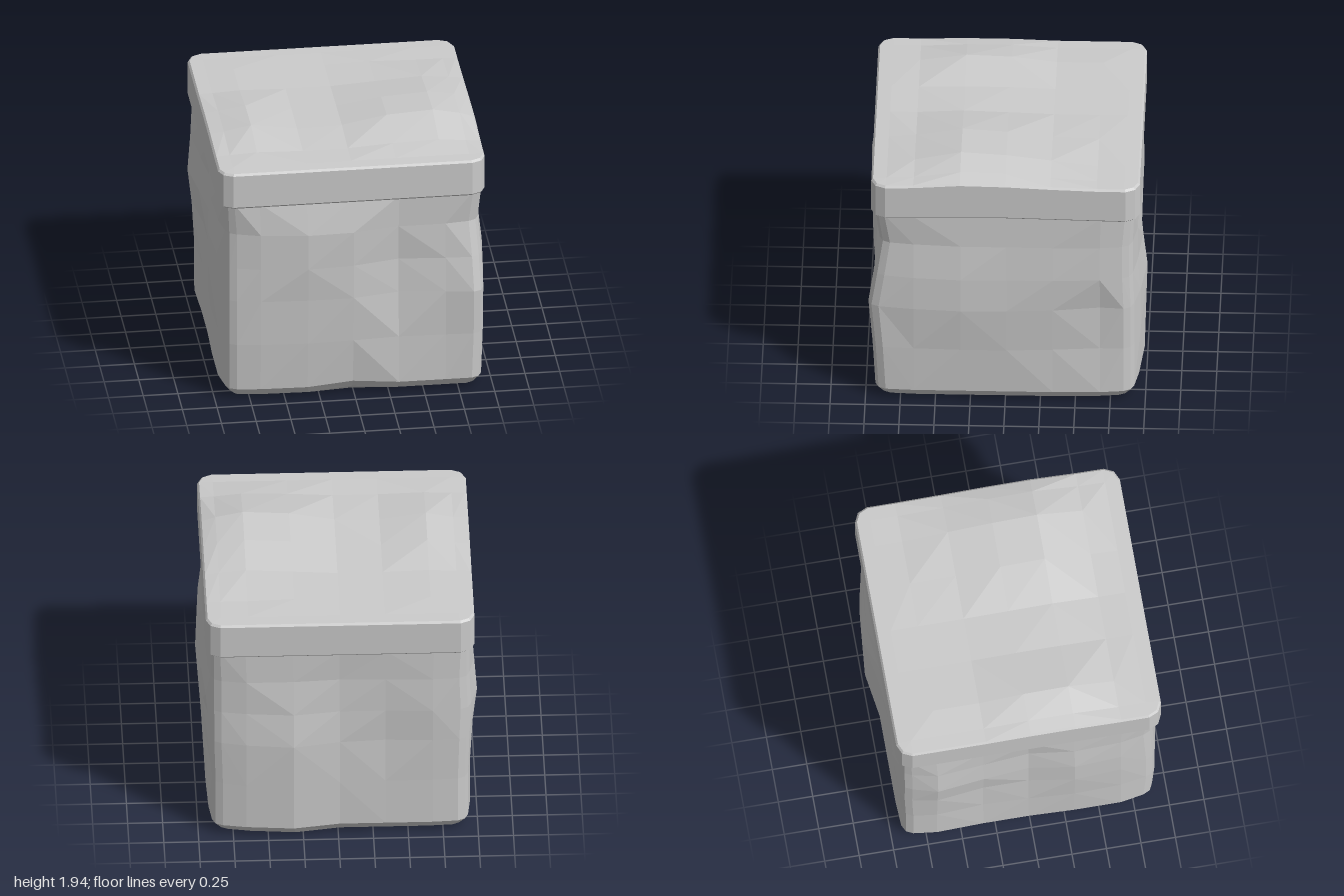
import * as THREE from 'three';

// Column positions across each face, as a share of the half width
const COLS = [-1, -0.77, -0.38, 0, 0.38, 0.77, 1];

// Outward dents and bulges in hundredths: rows go up, columns run anticlockwise seen from above
const FRONT = [
  [-3, -1, 0, -2, 0, 0, 0],
  [-1, 1, 3, 2, 0, 1, 2],
  [-1, 2, 4, 4, -2, 2, 5],
  [-2, 2, 6, 4, -3, 0, 1],
  [-3, 2, 6, 5, -1, -1, -3],
  [-1, 0, 1, 1, 0, 0, 0]];
const RIGHT = [
  [-1, 0, 0, 0, 0, -1, -3],
  [0, 1, 2, 2, 0, -3, -3],
  [0, 3, 5, 4, 2, -3, -2],
  [-1, 2, 4, 3, 3, 1, -2],
  [-3, -1, 1, 1, 1, 0, -2],
  [-1, 0, 0, 0, 0, 0, -2]];
const BACK = [
  [-3, 0, 3, -2, -2, -2, -3],
  [-3, 1, 4, -1, -2, -2, -3],
  [-3, 1, 5, -1, -3, -1, -2],
  [-4, -1, 2, -2, -2, 0, -2],
  [-4, -1, -1, -3, -2, -1, -2],
  [-3, -1, -1, -2, -1, -1, -2]];
const LEFT = [
  [-2, 0, -1, -1, 0, 0, -3],
  [-2, 0, -2, -1, 1, 0, -3],
  [-1, 2, -2, -2, 3, 1, -3],
  [0, 5, 1, -2, 3, 1, -3],
  [-1, 3, 0, -3, 1, 0, -3],
  [-1, 1, 0, -1, 0, 0, -2]];
const SIDES = [FRONT, RIGHT, BACK, LEFT];

// Swells of the lid's top in hundredths: rows from back to front, columns along x
const SWELL = [
  [0, 0, 0, 0, 0, 0, 0],
  [0, 1, 0, 0, 1, 0, 0],
  [0, 1, 0, 0, 2, 4, 2],
  [2, 5, 1, 1, 6, 8, 5],
  [2, 6, 1, 2, 8, 10, 6],
  [0, 1, 0, 0, 2, 3, 1],
  [0, 0, 0, 0, 0, 0, 0]];

// Rounded square loop: half = distance to the faces, end = where each face stops before its corner
function makeRing({ y, half, end, row = -1, lift = () => 0 }) {
  const bump = (side, col) => (row < 0 ? 0 : SIDES[(side + 4) % 4][row][col] / 100);
  const ring = [];
  for (let s = 0; s < 4; s++) {
    const angle = s * Math.PI / 2;
    const nx = Math.round(Math.sin(angle)), nz = Math.round(Math.cos(angle));
    COLS.forEach((u, c) => {
      let along = u * end;
      if (c === 0) along -= bump(s - 1, 6);
      if (c === 6) along += bump(s + 1, 0);
      const out = half + bump(s, c);
      ring.push(new THREE.Vector3(nx * out + nz * along, y + lift(s, c), nz * out - nx * along));
    });
    ring.push(null); // corner, filled in below
  }
  return ring.map((p, i) => {
    if (p) return p;
    const mid = ring[i - 1].clone().lerp(ring[(i + 1) % ring.length], 0.5);
    const push = 1 + (half - end) * 0.2;
    return mid.multiply(new THREE.Vector3(push, 1, push));
  });
}

// Skin the loops and close both ends with a grid
function makeShell(specs, topHeight) {
  const points = specs.map(makeRing).flat();
  const index = [];
  const n = points.length / specs.length;
  // Split each quad along the diagonal that bulges outwards
  const addQuad = (a, b, c, d) => {
    const reach = (i, j) => points[i].clone().add(points[j]).length();
    if (reach(a, c) >= reach(b, d)) index.push(a, b, c, a, c, d);
    else index.push(a, b, d, b, c, d);
  };
  for (let r = 0; r < specs.length - 1; r++) {
    for (let i = 0; i < n; i++) {
      const a = r * n + i, b = r * n + (i + 1) % n;
      addQuad(a, b, b + n, a + n);
    }
  }
  const cap = ({ y, end }, height, up) => {
    const start = points.length;
    COLS.forEach((v, j) => COLS.forEach((u, i) =>
      points.push(new THREE.Vector3(u * end, y + height(i, j), v * end))));
    for (let j = 0; j < 6; j++) {
      for (let i = 0; i < 6; i++) {
        const a = start + j * 7 + i;
        if (up) addQuad(a, a + 7, a + 8, a + 1);
        else addQuad(a, a + 1, a + 8, a + 7);
      }
    }
  };
  cap(specs[0], () => 0, false);
  cap(specs[specs.length - 1], topHeight, true);
  const geometry = new THREE.BufferGeometry().setFromPoints(points);
  geometry.setIndex(index);
  geometry.computeVertexNormals();
  return geometry;
}

export function createModel() {
  const group = new THREE.Group();
  const material = new THREE.MeshStandardMaterial({ color: 0xcccccc, flatShading: true });
  const addPart = (name, geometry, x, z) => {
    const mesh = new THREE.Mesh(geometry, material);
    mesh.name = name;
    mesh.position.set(x, 0, z);
    group.add(mesh);
  };

  // Dented stone block with a chamfered foot, nicked at the middle of its front edge
  const nick = (s, c) => (s === 0 && c === 3 ? 0.02 : 0);
  addPart('block', makeShell([
    { y: 0, half: 0.82, end: 0.82 },
    { y: 0.025, half: 0.9, end: 0.83, row: 0, lift: nick },
    { y: 0.085, half: 0.94, end: 0.865, row: 0, lift: nick },
    { y: 0.45, half: 0.94, end: 0.865, row: 1 },
    { y: 0.8, half: 0.94, end: 0.865, row: 2 },
    { y: 1.06, half: 0.94, end: 0.865, row: 3 },
    { y: 1.33, half: 0.94, end: 0.865, row: 4 },
    { y: 1.58, half: 0.94, end: 0.875, row: 5 },
    { y: 1.6, half: 0.85, end: 0.85 },
  ], () => 0), -0.01, -0.01);

  // Overhanging lid with rounded corners and a gently swelling top
  const swell = (i, j) => SWELL[j][i] / 100;
  const brim = (s, c) => [swell(c, 6), swell(6, 6 - c), swell(6 - c, 0), swell(0, c)][s];
  const rim = (s, c) => brim(s, c) / 2;
  const sag = (s, c) => (s === 1 ? 0.015 * (1 - Math.abs(COLS[c])) : 0);
  addPart('lid', makeShell([
    { y: 1.56, half: 0.86, end: 0.86 },
    { y: 1.56, half: 0.945, end: 0.85, lift: sag },
    { y: 1.575, half: 0.96, end: 0.86, lift: sag },
    { y: 1.825, half: 0.96, end: 0.86, lift: rim },
    { y: 1.84, half: 0.947, end: 0.855, lift: rim },
    { y: 1.843, half: 0.85, end: 0.85, lift: brim },
  ], swell), -0.015, 0);

  return group;
}
